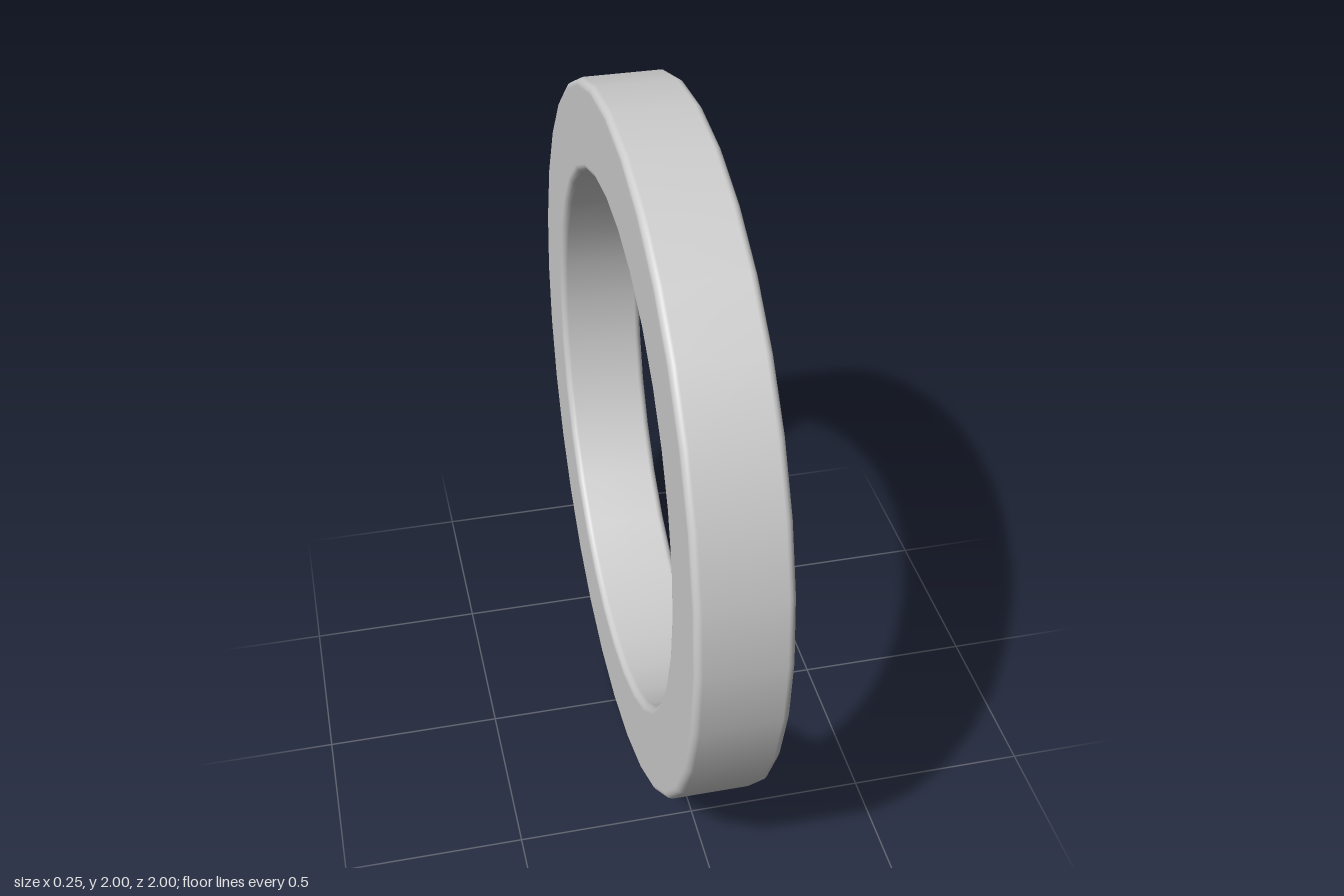
import * as THREE from 'three';

export function createModel() {
  const group = new THREE.Group();
  const outer = 1, inner = 0.75, half = 0.125, bevel = 0.02, steps = 4;

  // Rounded rectangular cross-section, counter-clockwise from the middle of the inner wall
  const profile = [new THREE.Vector2(inner, 0)];
  const corners = [[inner, -half], [outer, -half], [outer, half], [inner, half]];
  corners.forEach(([r, h], i) => {
    const cx = r === inner ? r + bevel : r - bevel;
    const cy = h < 0 ? h + bevel : h - bevel;
    for (let s = 0; s <= steps; s++) {
      const a = Math.PI + (i + s / steps) * Math.PI / 2;
      profile.push(new THREE.Vector2(cx + bevel * Math.cos(a), cy + bevel * Math.sin(a)));
    }
  });
  profile.push(new THREE.Vector2(inner, 0));

  // Ring of 32 sides standing upright, its axis along x
  const geometry = new THREE.LatheGeometry(profile, 32);
  geometry.rotateZ(Math.PI / 2);
  const ring = new THREE.Mesh(geometry, new THREE.MeshStandardMaterial({ color: 0xcccccc }));
  ring.name = 'ring';
  ring.position.y = outer;
  group.add(ring);
  return group;
}
